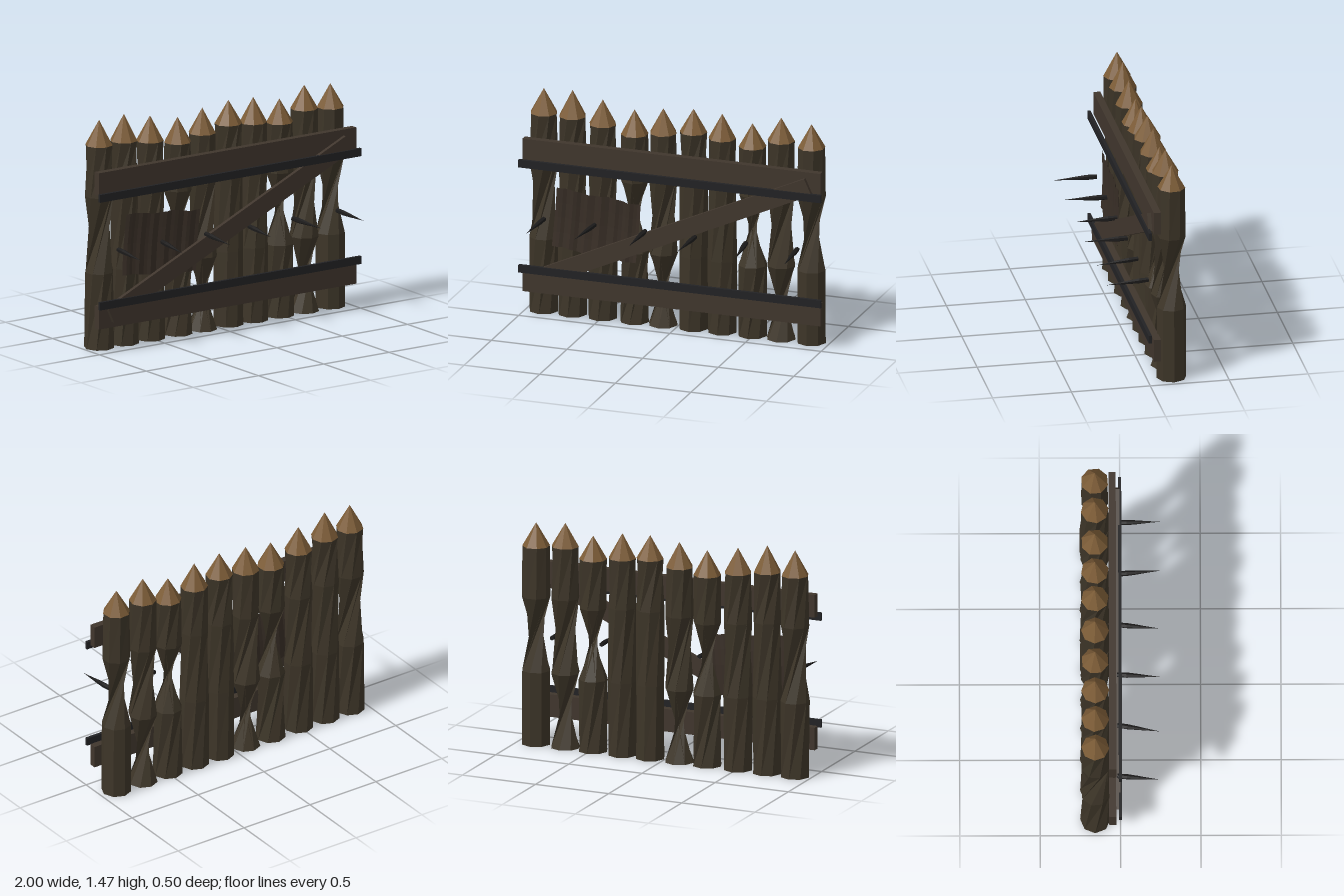
import * as THREE from 'three';

const mat = (name, color, side = THREE.FrontSide) => {
  const m = new THREE.MeshStandardMaterial({ color, side });
  m.name = name;
  return m;
};

// split every face so that it gets its own flat normal
const faceted = (geo) => {
  const g = geo.index ? geo.toNonIndexed() : geo;
  g.computeVertexNormals();
  return g;
};

// x, shoulder height, tip height, twist of the lower, middle and upper third
const POSTS = [
  [-0.89, 1.30, 1.46, 0.5, 1.4, 0.4],
  [-0.70, 1.30, 1.47, 0.4, 0.5, 0.6],
  [-0.50, 1.27, 1.43, 0.4, 0.7, 0.5],
  [-0.29, 1.23, 1.39, 0.9, 2.4, 0.3],
  [-0.10, 1.26, 1.42, 2.5, 1.2, 0.2],
  [0.10, 1.29, 1.44, 0.1, 0.3, 0.6],
  [0.29, 1.27, 1.43, 0.3, 0.4, 0.3],
  [0.49, 1.24, 1.39, 0.6, 2.55, 0.4],
  [0.68, 1.30, 1.45, 2.3, 1.5, 0.3],
  [0.88, 1.28, 1.43, 0.0, 2.0, 0.05],
];
const SIDES = 8, POST_Z = -0.157;

// eight-sided log, each third wrung by its own angle
function postGeometry(shoulder, tip, twists) {
  const geo = new THREE.CylinderGeometry(1, 1, 3, SIDES, 3);
  const heights = [0, tip / 3, tip * 2 / 3, shoulder];
  const radii = [0.094, 0.092, 0.089, 0.085];
  const angles = [0];
  twists.forEach((t, i) => angles.push(angles[i] + t));
  const p = geo.attributes.position;
  for (let i = 0; i < p.count; i++) {
    const k = Math.round(p.getY(i) + 1.5);
    const x = p.getX(i), z = p.getZ(i), a = angles[k], r = radii[k];
    p.setXYZ(i, r * (x * Math.cos(a) + z * Math.sin(a)), heights[k],
      r * (z * Math.cos(a) - x * Math.sin(a)));
  }
  return { geo: faceted(geo), topAngle: angles[3] };
}

// corrugated patch, gently bowed
function sheetGeometry() {
  const geo = new THREE.PlaneGeometry(0.56, 0.39, 24, 4);
  const p = geo.attributes.position;
  for (let i = 0; i < p.count; i++) {
    const x = p.getX(i), y = p.getY(i);
    const wave = 0.006 * Math.sin(x * 70) + 0.003 * Math.sin(x * 31 + 1);
    p.setXYZ(i, x, y + 0.006 * Math.sin(x * 23), wave - 0.008 * Math.cos(y * 8));
  }
  return faceted(geo);
}

export function createModel() {
  const group = new THREE.Group();
  const wood = mat('dark log wood', 0x3d3528);
  const plankWood = mat('plank wood', 0x40362d);
  const cutWood = mat('fresh cut wood', 0x7c5c37);
  const iron = mat('black iron', 0x222224);
  const spikeIron = mat('spike iron', 0x1c1b1b);
  const sheetMat = mat('rusty sheet', 0x382e26, THREE.DoubleSide);

  const add = (name, geo, material, x, y, z) => {
    const m = new THREE.Mesh(geo, material);
    m.name = name;
    m.position.set(x, y, z);
    group.add(m);
    return m;
  };

  // sharpened logs
  POSTS.forEach(([x, shoulder, tip, ...twists]) => {
    const { geo, topAngle } = postGeometry(shoulder, tip, twists);
    add('post', geo, wood, x, 0, POST_Z);
    const cone = faceted(new THREE.ConeGeometry(0.087, tip - shoulder, SIDES));
    add('postTip', cone, cutWood, x, (tip + shoulder) / 2, POST_Z).rotation.y = topAngle;
  });

  // cross planks, each with an iron strip
  for (const [name, plankY, stripY] of [['upper', 1.085, 1.003], ['lower', 0.227, 0.311]]) {
    add(name + 'Plank', new THREE.BoxGeometry(1.97, 0.146, 0.045), plankWood, 0, plankY, -0.048);
    add(name + 'Strip', new THREE.BoxGeometry(2, 0.05, 0.02), iron, 0, stripY, -0.001);
  }

  // diagonal brace
  add('brace', new THREE.BoxGeometry(2.0, 0.113, 0.026), plankWood, 0, 0.655, -0.014)
    .rotation.z = 0.427;

  // patch
  add('patch', sheetGeometry(), sheetMat, -0.5, 0.64, -0.034).rotation.z = -0.085;

  // forward spikes, each leaning a little: root x, tip x
  const profile = [[0, 0], [0.015, 0], [0.017, 0.06], [0.012, 0.13], [0.008, 0.17], [0, 0.27]]
    .map(([r, y]) => new THREE.Vector2(r, y));
  const spikeGeo = faceted(new THREE.LatheGeometry(profile, 6));
  [[-0.84, -0.86], [-0.505, -0.54], [-0.17, -0.18], [0.16, 0.14], [0.495, 0.52], [0.835, 0.845]]
    .forEach(([x0, x1]) => {
      const dir = new THREE.Vector3(x1 - x0, -0.012, 0.25).normalize();
      add('spike', spikeGeo, spikeIron, x0, 0.648, -0.02)
        .quaternion.setFromUnitVectors(new THREE.Vector3(0, 1, 0), dir);
    });

  return group;
}
